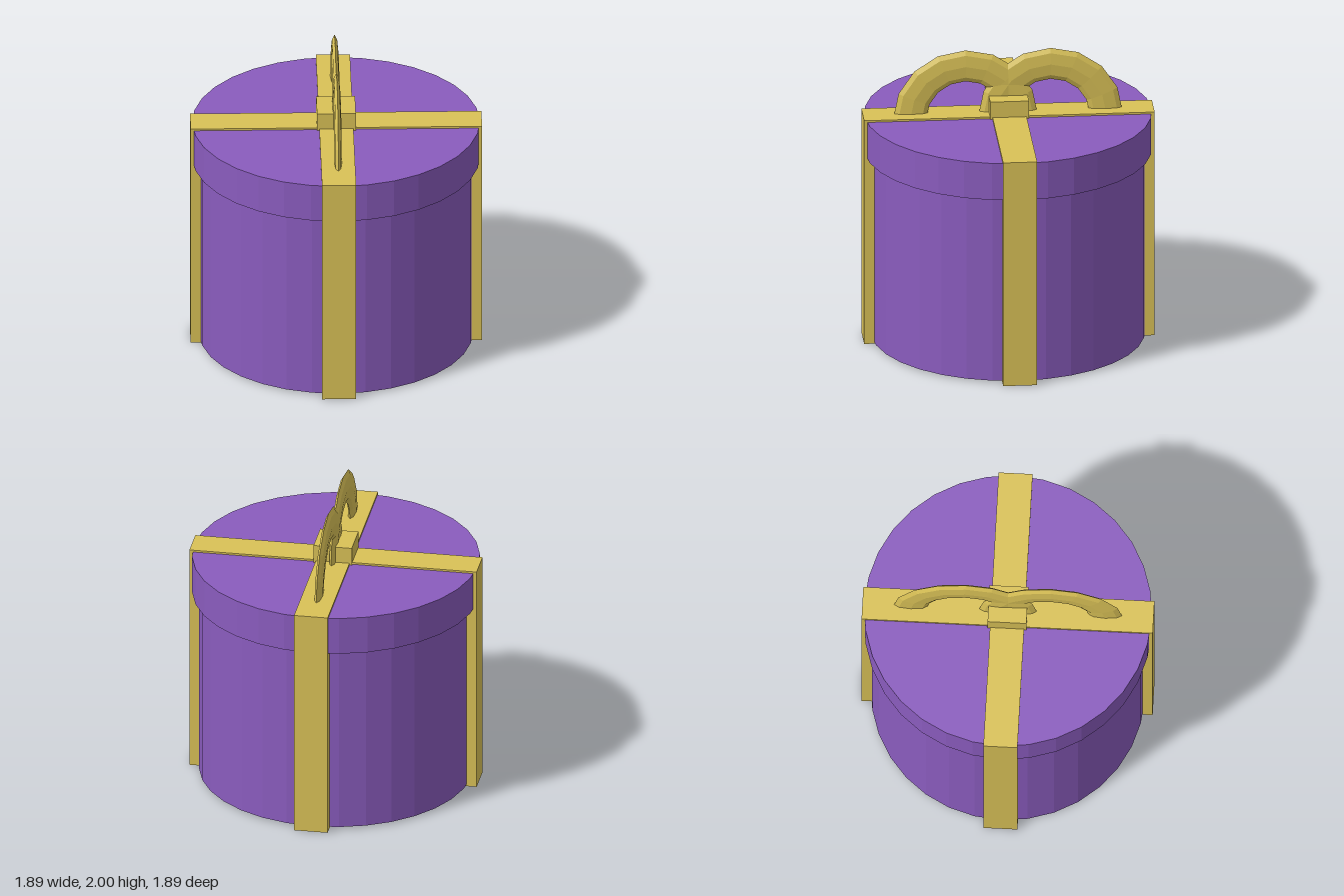
import * as THREE from 'three';

export function createModel() {
  const purple = new THREE.MeshStandardMaterial({ color: 0x8a5cbe, flatShading: true });
  purple.name = 'purple card';
  const gold = new THREE.MeshStandardMaterial({ color: 0xdac257, flatShading: true });
  gold.name = 'gold ribbon';

  const model = new THREE.Group();
  model.name = 'giftBox';
  // The whole box is turned a little on its axis
  const turned = new THREE.Group();
  turned.name = 'turnedBox';
  turned.rotation.y = THREE.MathUtils.degToRad(26.1);
  model.add(turned);

  const add = (name, geometry, material, y, z = 0) => {
    const mesh = new THREE.Mesh(geometry, material);
    mesh.name = name;
    mesh.position.set(0, y, z);
    turned.add(mesh);
    return mesh;
  };
  const drum = (name, radius, bottom, top) =>
    add(name, new THREE.CylinderGeometry(radius, radius, top - bottom, 32), purple, (top + bottom) / 2);

  // Round box and overhanging lid
  drum('body', 0.9, 0.012, 1.4);
  drum('lid', 0.945, 1.3, 1.557);

  // Crossed ribbons wrapping top, sides and base
  const height = 1.57, width = 0.224, length = 1.914;
  add('ribbonLengthwise', new THREE.BoxGeometry(width, height, length), gold, height / 2);
  add('ribbonCrosswise', new THREE.BoxGeometry(length, height, width), gold, height / 2);

  // Knot
  add('knot', new THREE.BoxGeometry(0.255, 0.13, 0.255), gold, 1.615);

  // Two flattened bow loops that overlap at the knot
  for (const side of [1, -1]) {
    const loop = new THREE.TorusGeometry(0.367, 0.11, 8, 8, Math.PI);
    loop.scale(1, 0.985, 0.22);
    loop.rotateY(Math.PI / 2);
    add(side > 0 ? 'bowLoopFront' : 'bowLoopBack', loop, gold, 1.53, side * 0.28);
  }

  return model;
}
